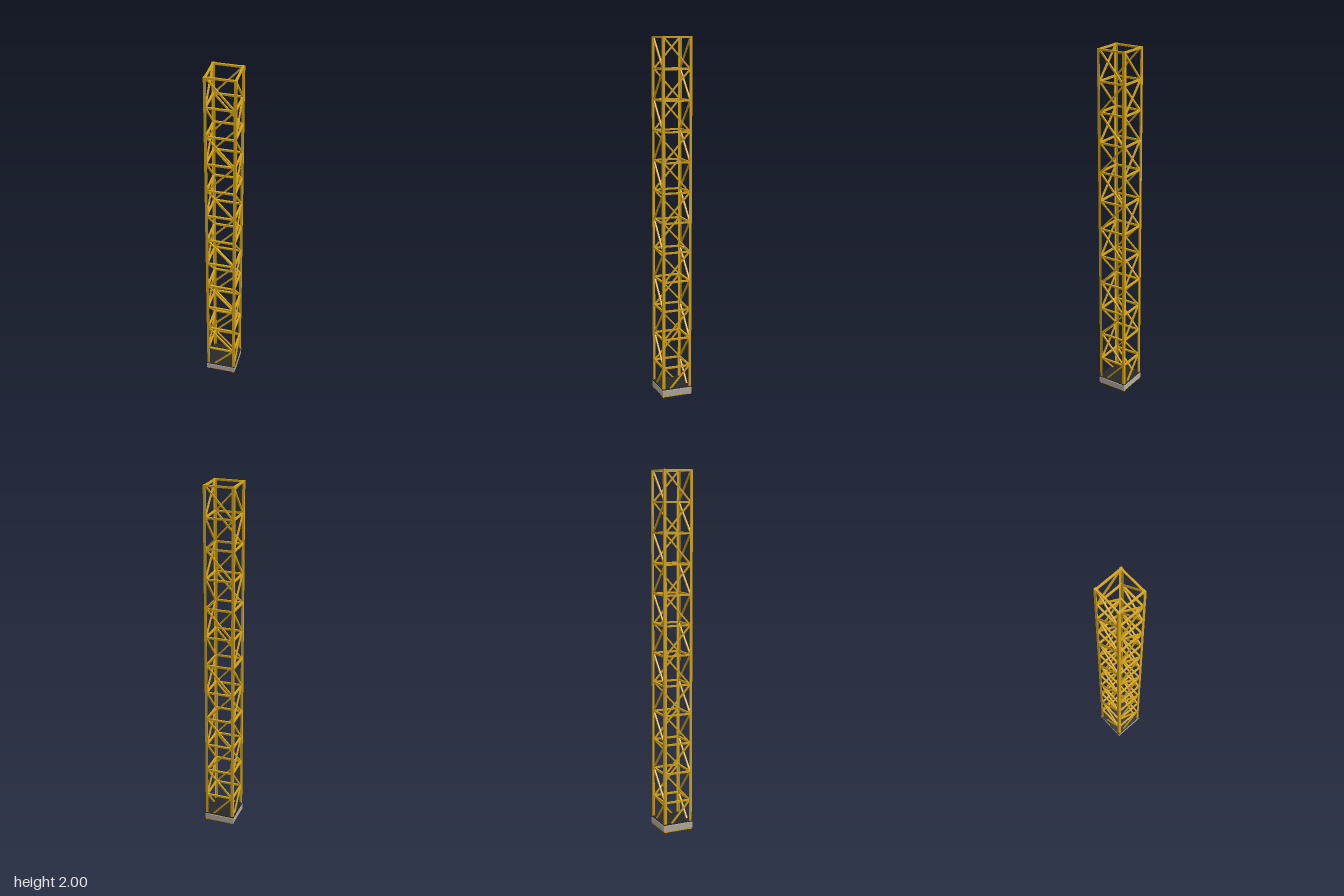
import * as THREE from 'three';

const paint = new THREE.MeshStandardMaterial({ color: 0xd6a516 });
paint.name = 'yellow paint';
const concrete = new THREE.MeshStandardMaterial({ color: 0xb4aba0 });
concrete.name = 'concrete';
const darkSteel = new THREE.MeshStandardMaterial({ color: 0x282828 });
darkSteel.name = 'dark steel';

const BAYS = 12, BOTTOM = 0.005, TOP = 1.995;
const PITCH = (TOP - BOTTOM) / BAYS;
const FACE = 0.077;   // distance of the lattice planes from the centre
const OUTER = 0.0849; // outer corner of the legs

function box(name, w, h, d, material, x = 0, y = 0, z = 0) {
  const mesh = new THREE.Mesh(new THREE.BoxGeometry(w, h, d), material);
  mesh.name = name;
  mesh.position.set(x, y, z);
  return mesh;
}

// Angle-section leg, its corner pointing outwards
function makeLeg() {
  const w = 0.0155, t = 0.0022;
  const s = new THREE.Shape([
    [0, 0], [0, -w], [-t, -w], [-t, -t], [-w, -t], [-w, 0],
  ].map(([x, y]) => new THREE.Vector2(x, y)));
  const geometry = new THREE.ExtrudeGeometry(s, { depth: 2, bevelEnabled: false });
  geometry.translate(OUTER, OUTER, 0);
  geometry.rotateX(-Math.PI / 2);
  const leg = new THREE.Mesh(geometry, paint);
  leg.name = 'leg';
  return leg;
}

// One side of the lattice: horizontal bars and a zigzag of braces
function makeSide() {
  const side = new THREE.Group();
  side.name = 'latticeSide';
  const span = 2 * FACE - 0.004;
  const length = Math.hypot(span, PITCH);
  const angle = Math.atan2(PITCH, span);
  for (let i = 0; i <= BAYS; i++) {
    const y = BOTTOM + i * PITCH;
    side.add(box('horizontalBar', 2 * FACE + 0.01, 0.01, 0.01, paint, 0, y, FACE));
    if (i === BAYS) break;
    const brace = box('diagonalBrace', length, 0.0085, 0.0085, paint, 0, y + PITCH / 2, FACE);
    brace.rotation.z = i % 2 ? -angle : angle;
    side.add(brace);
  }
  return side;
}

export function createModel() {
  const model = new THREE.Group();
  model.name = 'latticeMast';

  // Footing
  model.add(box('baseSlab', 0.175, 0.031, 0.175, concrete, 0, 0.0245, 0));
  model.add(box('basePlate', 0.176, 0.005, 0.176, darkSteel, 0, 0.0465, 0));

  // Four identical sides and corners
  for (let i = 0; i < 4; i++) {
    const quarter = new THREE.Group();
    quarter.name = 'mastQuarter';
    quarter.add(makeLeg(), makeSide());
    quarter.rotation.y = i * Math.PI / 2;
    model.add(quarter);
  }
  return model;
}
